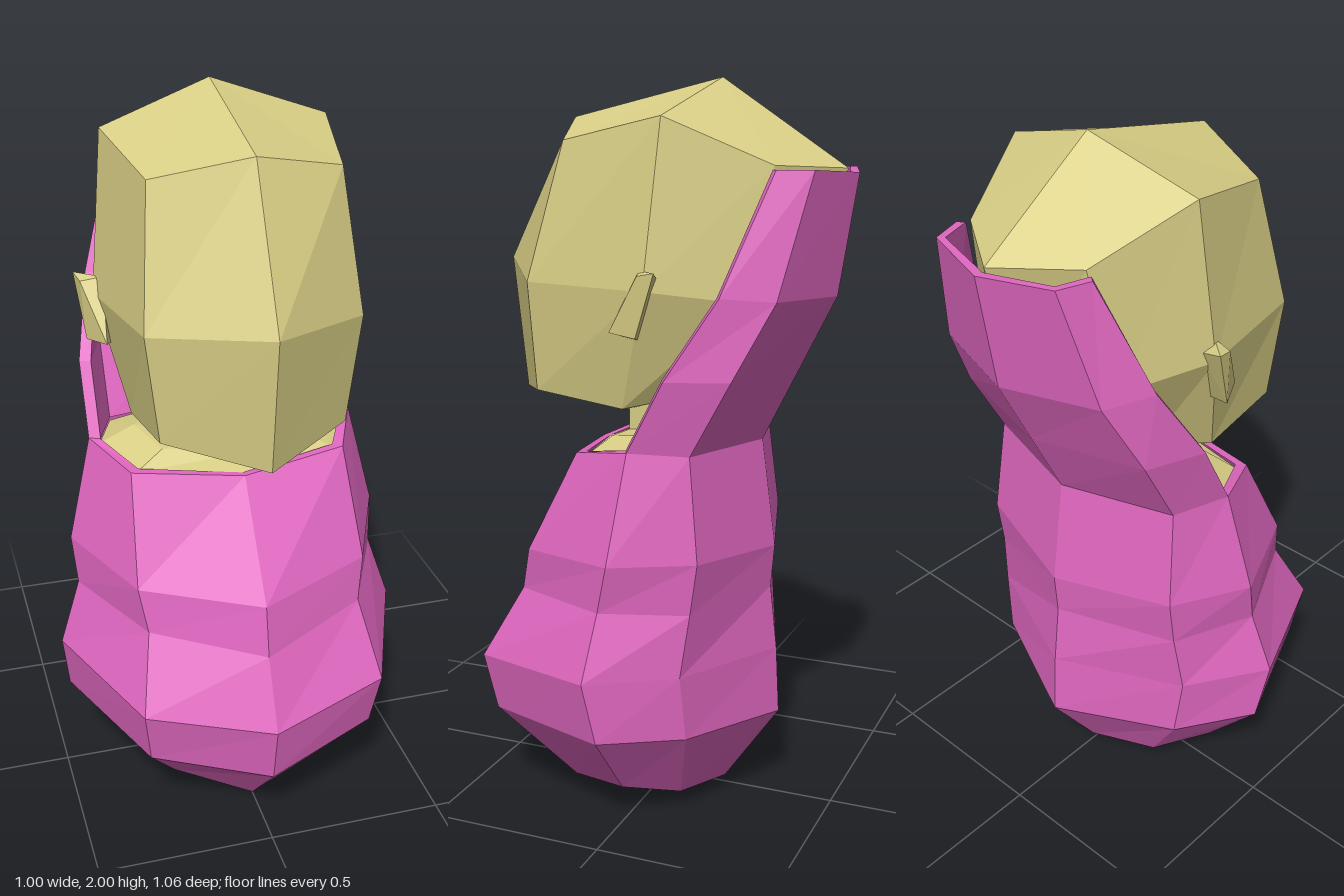
import * as THREE from 'three';
import { ConvexGeometry } from 'three/addons/geometries/ConvexGeometry.js';

const skin = new THREE.MeshStandardMaterial({ color: 0xd8ce85, flatShading: true });
const cloth = new THREE.MeshStandardMaterial({ color: 0xe067c0, flatShading: true, side: THREE.DoubleSide });

// Five points (front, front side, side, back side, back) mirrored into a ring of eight
const ring = (half) => [...half, ...half.slice(1, 4).reverse().map(([x, y, z]) => [-x, y, z])];
const point = (p) => Array(8).fill(p);

// Faceted skin over rows of points, listed from the bottom up
function loft(rows, closed = true) {
  const pos = [];
  const same = (a, b) => a.every((v, i) => v === b[i]);
  const tri = (a, b, c) => {
    if (!same(a, b) && !same(b, c) && !same(a, c)) pos.push(...a, ...b, ...c);
  };
  for (let i = 0; i < rows.length - 1; i++) {
    const n = rows[i].length;
    for (let j = 0; j < (closed ? n : n - 1); j++) {
      const k = (j + 1) % n;
      tri(rows[i][j], rows[i][k], rows[i + 1][k]);
      tri(rows[i][j], rows[i + 1][k], rows[i + 1][j]);
    }
  }
  const g = new THREE.BufferGeometry();
  g.setAttribute('position', new THREE.Float32BufferAttribute(pos, 3));
  g.computeVertexNormals();
  return g;
}

export function createModel() {
  const model = new THREE.Group();
  const add = (name, geometry, material) => {
    const m = new THREE.Mesh(geometry, material);
    m.name = name;
    model.add(m);
  };

  // Wrapped body, from the base to the neckline
  const body = [
    [[0, 0.0, 0.3], [0.21, 0.05, 0.2], [0.31, 0.09, 0.01], [0.2, 0.05, -0.12], [0, 0.02, -0.18]],
    [[0, 0.22, 0.5], [0.32, 0.27, 0.39], [0.48, 0.29, 0.01], [0.34, 0.28, -0.19], [0, 0.25, -0.34]],
    [[0, 0.39, 0.53], [0.34, 0.43, 0.42], [0.5, 0.46, 0.04], [0.36, 0.46, -0.18], [0, 0.44, -0.33]],
    [[0, 0.58, 0.44], [0.3, 0.63, 0.31], [0.44, 0.64, 0.02], [0.34, 0.63, -0.2], [0, 0.62, -0.31]],
    [[0, 0.72, 0.41], [0.32, 0.75, 0.28], [0.45, 0.77, -0.01], [0.34, 0.77, -0.22], [0, 0.74, -0.32]],
    [[0, 1.01, 0.2], [0.3, 1.03, 0.14], [0.38, 1.06, -0.04], [0.32, 1.05, -0.19], [0, 1.04, -0.28]],
  ].map(ring);
  add('wrappedBody', loft([point([0, 0.01, 0.05]), ...body]), cloth);

  // Hood rising behind the head: side, back side, back and mirrored
  const neckline = body[5];
  const hood = [
    [[0.38, 1.25, -0.14], [0.32, 1.25, -0.3], [0, 1.24, -0.38]],
    [[0.33, 1.46, -0.27], [0.27, 1.45, -0.4], [0, 1.44, -0.48]],
    [[0.23, 1.77, -0.38], [0.2, 1.77, -0.47], [0, 1.76, -0.53]],
  ].map((h) => ring([[0, 0, 0], [0, 0, 0], ...h]).slice(2, 7));
  const outer = [neckline.slice(2, 7), ...hood];
  const inset = ([x, y, z]) => [x * 0.92, y, z + (z > 0 ? -0.02 : Math.abs(x) < 0.01 ? 0.025 : 0.015)];
  const inner = outer.map((row) => row.map(inset));
  add('hoodOuter', loft(outer, false), cloth);
  add('hoodLining', loft(inner.map((row) => [...row].reverse()), false), cloth);

  // Thin rim around the whole opening
  const edge = [
    neckline[0], neckline[1], ...outer.slice(0, 3).map((r) => r[0]),
    ...outer[3], ...outer.slice(0, 3).reverse().map((r) => r[4]), neckline[7],
  ];
  add('hoodRim', loft([edge, edge.map(inset)]), cloth);

  // Shoulders and neck
  add('shouldersAndNeck', loft([
    [[0, 1.01, 0.18], [0.28, 1.02, 0.12], [0.35, 1.04, -0.04], [0.295, 1.04, -0.175], [0, 1.03, -0.255]],
    [[0, 1.03, 0.11], [0.2, 1.06, 0.08], [0.25, 1.08, -0.05], [0.18, 1.08, -0.14], [0, 1.08, -0.18]],
    [[0, 1.04, 0.1], [0.11, 1.06, 0.07], [0.12, 1.07, -0.04], [0.1, 1.08, -0.12], [0, 1.08, -0.14]],
    [[0, 1.2, 0.1], [0.11, 1.2, 0.07], [0.12, 1.2, -0.04], [0.1, 1.21, -0.12], [0, 1.21, -0.14]],
  ].map(ring)), skin);

  // Head
  add('head', loft([
    point([0, 1.09, 0.13]),
    ...[
      [[0, 1.14, 0.44], [0.25, 1.18, 0.28], [0.27, 1.15, 0.02], [0.18, 1.18, -0.13], [0, 1.18, -0.22]],
      [[0, 1.51, 0.48], [0.285, 1.475, 0.285], [0.345, 1.47, -0.07], [0.24, 1.44, -0.3], [0, 1.44, -0.41]],
      [[0, 1.9, 0.275], [0.25, 1.84, 0.19], [0.305, 1.9, -0.105], [0.195, 1.78, -0.365], [0, 1.77, -0.5]],
    ].map(ring),
    point([0, 2, -0.155]),
  ]), skin);

  // Small wedge ears
  for (const [name, s, tip] of [['leftEar', 1, 0.365], ['rightEar', -1, 0.39]]) {
    const pts = [
      [tip, 1.52, -0.11], [tip - 0.01, 1.51, -0.06], [0.32, 1.52, -0.05], [0.32, 1.5, -0.1],
      [tip - 0.02, 1.35, -0.05], [0.33, 1.36, 0.03], [0.3, 1.34, -0.04],
    ].map(([x, y, z]) => new THREE.Vector3(s * x, y, z));
    add(name, new ConvexGeometry(pts), skin);
  }
  return model;
}
